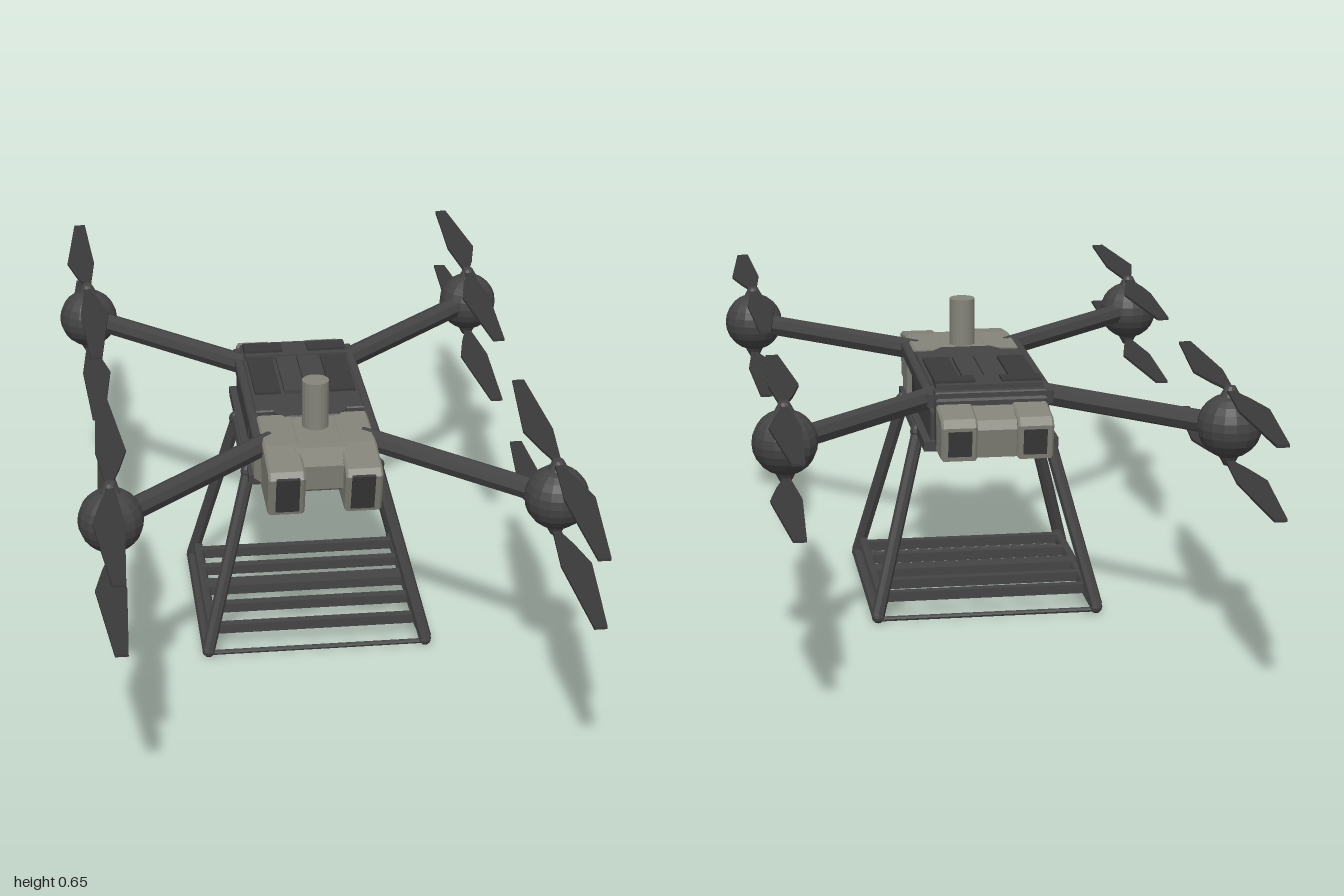
import * as THREE from 'three';

const DARK = new THREE.MeshStandardMaterial({ color: 0x444444, flatShading: true });
const BLACK = new THREE.MeshStandardMaterial({ color: 0x3a3a3a, flatShading: true });
const SHELL = new THREE.MeshStandardMaterial({ color: 0x84847a, flatShading: true });

export function createModel() {
  const model = new THREE.Group();

  const add = (name, geometry, material, x = 0, y = 0, z = 0, parent = model) => {
    const mesh = new THREE.Mesh(geometry, material);
    mesh.name = name;
    mesh.position.set(x, y, z);
    parent.add(mesh);
    return mesh;
  };
  const box = (name, w, h, d, material, x, y, z) =>
    add(name, new THREE.BoxGeometry(w, h, d), material, x, y, z);

  // Straight tube between two points
  const rod = (name, a, b, radius) => {
    const p = new THREE.Vector3(...a), q = new THREE.Vector3(...b);
    const mesh = add(name, new THREE.CylinderGeometry(radius, radius, p.distanceTo(q), 8), DARK);
    mesh.position.copy(p).lerp(q, 0.5);
    mesh.quaternion.setFromUnitVectors(new THREE.Vector3(0, 1, 0), q.sub(p).normalize());
  };

  // Extrude an outline with a small chamfer, centred on its depth
  const extrude = (points, depth, bevel) => {
    const shape = new THREE.Shape(points.map(([u, v]) => new THREE.Vector2(u, v)));
    return new THREE.ExtrudeGeometry(shape, {
      depth: depth - 2 * bevel, bevelEnabled: bevel > 0, bevelSegments: 1,
      bevelSize: bevel, bevelThickness: bevel, bevelOffset: -bevel,
    }).translate(0, 0, bevel - depth / 2);
  };
  // Side profile in (z, y), extruded across x
  const profile = (name, points, width, material, x = 0, bevel = 0.005) =>
    add(name, extrude(points, width, bevel).rotateY(-Math.PI / 2), material, x);
  // Plan outline in (x, z), extruded along y
  const plan = (name, points, y0, y1, material, bevel = 0.005) =>
    add(name, extrude(points.map(([x, z]) => [x, -z]), y1 - y0, bevel).rotateX(-Math.PI / 2), material, 0, (y0 + y1) / 2);
  const symmetric = (half) => [...half, ...half.map(([x, z]) => [-x, z]).reverse()];

  // Dark fuselage core, belly plate and deck
  plan('fuselage', symmetric([[0.125, -0.3], [0.125, 0.15]]), 0.425, 0.535, DARK);
  plan('bellyPlate', symmetric([[0.11, -0.24], [0.11, 0.15]]), 0.412, 0.43, BLACK);
  plan('topDeck', symmetric([[0.125, -0.29], [0.125, 0.1], [0.085, 0.1], [0.06, 0.135]]), 0.53, 0.548, DARK, 0.003);
  box('rearHatch', 0.24, 0.012, 0.08, DARK, 0, 0.553, -0.23);
  for (const s of [-1, 1]) {
    box('hatchRidge', 0.09, 0.008, 0.045, BLACK, s * 0.075, 0.561, -0.23);
    box('batteryCover', 0.047, 0.012, 0.2, DARK, s * 0.025, 0.55, -0.09);
    box('deckRail', 0.06, 0.009, 0.2, BLACK, s * 0.087, 0.55, -0.09);
  }

  // Nose: centre section with a rounded barrel underneath, and shoulders below the arm roots
  profile('noseCentre', [[0.11, 0.445], [0.3, 0.44], [0.345, 0.465], [0.355, 0.525], [0.3, 0.545], [0.11, 0.545]], 0.12, SHELL);
  const barrel = add('chinBarrel', new THREE.CylinderGeometry(0.042, 0.042, 0.1, 16), SHELL, 0, 0.453, 0.215);
  barrel.rotation.z = Math.PI / 2;
  plan('frontShoulder', symmetric([[0.125, 0.1], [0.14, 0.13], [0.14, 0.21], [0.118, 0.25]]), 0.43, 0.515, SHELL);

  for (const s of [-1, 1]) {
    // Front pods with dark sensor windows
    profile('frontPod', [[0.12, 0.42], [0.37, 0.42], [0.398, 0.515], [0.385, 0.53], [0.28, 0.546], [0.12, 0.546]], 0.082, SHELL, s * 0.085);
    const lens = box('frontWindow', 0.052, 0.092, 0.01, BLACK, s * 0.083, 0.474, 0.384);
    lens.rotation.x = 0.287;
    // Rear pods
    profile('rearPod', [[-0.25, 0.415], [-0.385, 0.417], [-0.4, 0.495], [-0.385, 0.512], [-0.25, 0.53]], 0.08, SHELL, s * 0.084);
    const tail = box('rearWindow', 0.052, 0.06, 0.008, BLACK, s * 0.083, 0.458, -0.391);
    tail.rotation.x = -0.19;
    // Side panels and the rail joining the arm roots
    profile('sidePanel', [[0.1, 0.44], [0.015, 0.44], [0.03, 0.525], [0.1, 0.525]], 0.012, BLACK, s * 0.126, 0.002);
    profile('sideFairing', [[0.01, 0.435], [-0.28, 0.435], [-0.28, 0.5], [-0.2, 0.53], [0.02, 0.53]], 0.016, DARK, s * 0.126, 0.003);
    profile('armRootRail', [[0.245, 0.512], [-0.28, 0.512], [-0.28, 0.542], [0.245, 0.542]], 0.026, DARK, s * 0.13, 0.004);
  }
  profile('rearCentre', [[-0.25, 0.418], [-0.372, 0.42], [-0.385, 0.485], [-0.375, 0.505], [-0.25, 0.528]], 0.11, SHELL);

  // Antenna mast
  add('antenna', new THREE.CylinderGeometry(0.03, 0.03, 0.115, 20), SHELL, 0.002, 0.5975, 0.18);

  // Two-bladed rotor outline: each blade is wide near the root, slim at the tip
  const rotorGeometry = (s) => {
    const blade = [[-0.01, 0.03], [-0.024, 0.08], [-0.043, 0.17], [-0.016, 0.44], [0.011, 0.44], [0.023, 0.17], [0.01, 0.03]];
    const outline = [...blade, ...blade.map(([x, z]) => [-x, -z])].map(([x, z]) => [x * s, z]);
    return extrude(outline, 0.006, 0).rotateX(-Math.PI / 2);
  };

  // Four arms, each with a motor ball and an upper and lower rotor
  for (const sx of [-1, 1]) for (const sz of [-1, 1]) {
    rod('arm', [sx * 0.105, 0.524, sz * 0.212], [sx * 0.475, 0.524, sz * 0.56], 0.025);

    const unit = new THREE.Group();
    unit.name = 'motorUnit';
    unit.position.set(sx * 0.475, 0.525, sz * 0.56);
    model.add(unit);
    add('motorBall', new THREE.SphereGeometry(0.07, 16, 12), DARK, 0, 0, 0, unit);
    for (const sy of [-1, 1]) {
      const hub = add('rotorHub', new THREE.CylinderGeometry(0.011, 0.026, 0.028, 12), DARK, 0, sy * 0.073, 0, unit);
      if (sy < 0) hub.rotation.x = Math.PI;
      add('rotor', rotorGeometry(sx * sz), BLACK, 0, sy * 0.077, 0, unit);
    }
  }

  // Landing gear: hip rails, splayed legs and foot frame
  for (const s of [-1, 1]) {
    rod('hipRail', [s * 0.145, 0.422, -0.145], [s * 0.145, 0.422, 0.145], 0.015);
    box('hipBracket', 0.045, 0.022, 0.5, DARK, s * 0.128, 0.427, -0.045);
    for (const sz of [-1, 1]) {
      rod('leg', [s * 0.146, 0.422, sz * 0.145], [s * 0.251, 0.02, sz * 0.241], 0.015);
      add('hipJoint', new THREE.SphereGeometry(0.018, 8, 6), DARK, s * 0.147, 0.422, sz * 0.145);
      add('footJoint', new THREE.SphereGeometry(0.015, 8, 6), DARK, s * 0.251, 0.015, sz * 0.241);
    }
    rod('footRail', [s * 0.252, 0.013, -0.24], [s * 0.252, 0.013, 0.24], 0.013);
    rod('trayRail', [s * 0.239, 0.046, -0.232], [s * 0.239, 0.046, 0.232], 0.012);
    rod('footCrossbar', [-0.25, 0.009, s * 0.24], [0.25, 0.009, s * 0.24], 0.006);
    rod('hipCrossbar', [-0.145, 0.406, s * 0.145], [0.145, 0.406, s * 0.145], 0.006);
  }
  // Cargo tray slats: [z, width]
  for (const [z, w] of [[-0.19, 0.02], [-0.1, 0.022], [-0.01, 0.045], [0.09, 0.022], [0.19, 0.02]])
    box('traySlat', 0.478, 0.022, w, DARK, 0, 0.046, z);

  return model;
}
